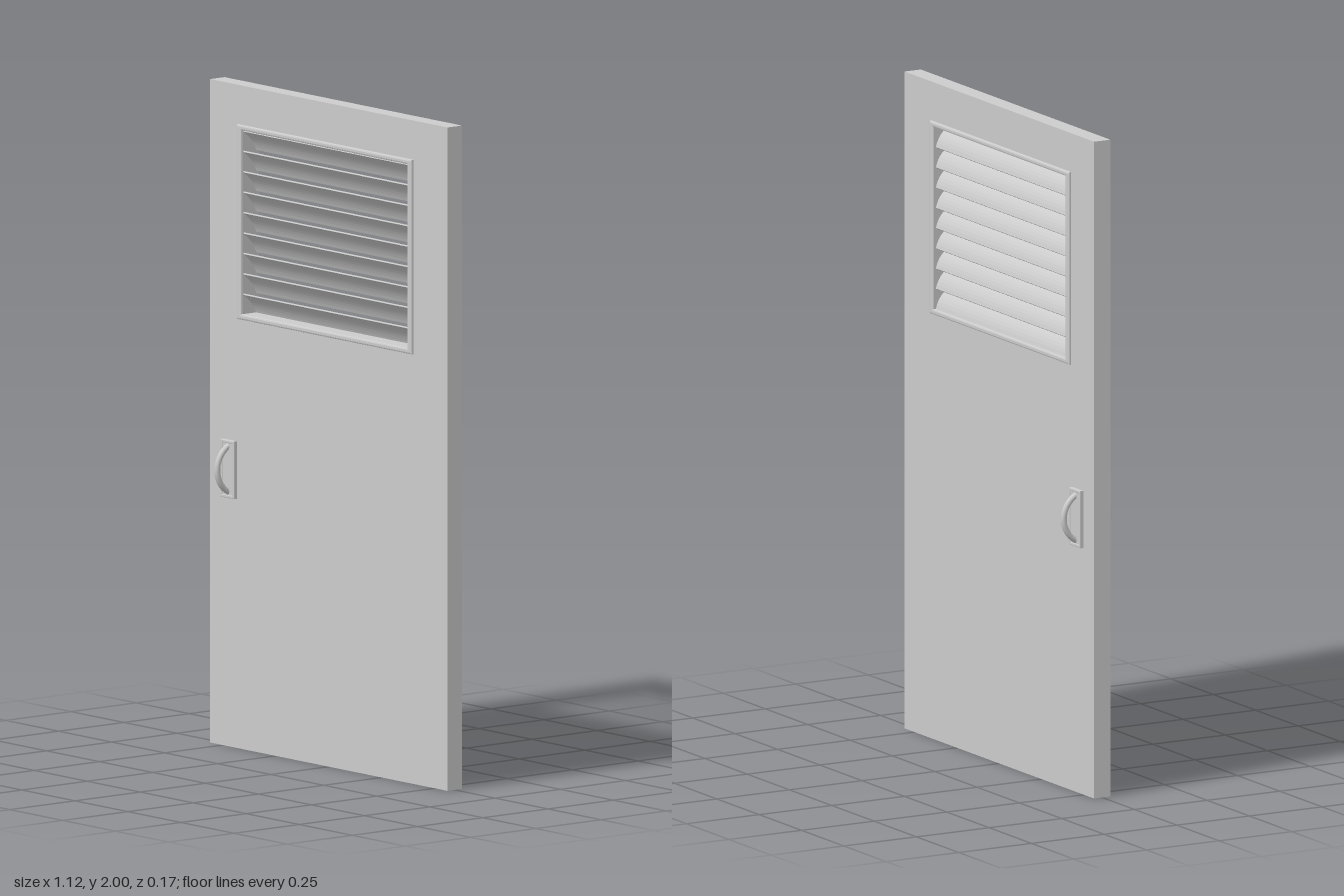
import * as THREE from 'three';

const grey = new THREE.MeshStandardMaterial({ color: 0xcccccc });

function rect(PathType, x0, x1, y0, y1) {
  const p = new PathType();
  p.moveTo(x0, y0);
  p.lineTo(x1, y0);
  p.lineTo(x1, y1);
  p.lineTo(x0, y1);
  p.closePath();
  return p;
}

// Rectangular panel with a rectangular hole, centred on z = 0
function panel(outer, hole, depth, bevel) {
  const shape = rect(THREE.Shape, ...outer);
  shape.holes.push(rect(THREE.Path, ...hole));
  const geo = new THREE.ExtrudeGeometry(shape, {
    depth: depth - 2 * bevel,
    bevelEnabled: bevel > 0,
    bevelSize: bevel,
    bevelThickness: bevel,
    bevelOffset: -bevel,
    bevelSegments: 2,
  });
  geo.translate(0, 0, bevel - depth / 2);
  return geo;
}

// Curved, tapered louvre blade: high at the front, low at the back
function slatGeometry(width) {
  const shape = new THREE.Shape();
  shape.moveTo(0.026, 0.031);
  shape.quadraticCurveTo(-0.014, 0.016, -0.026, -0.031);
  shape.lineTo(-0.022, -0.034);
  shape.quadraticCurveTo(-0.005, 0.006, 0.028, 0.027);
  shape.closePath();
  const geo = new THREE.ExtrudeGeometry(shape, { depth: width, bevelEnabled: false, curveSegments: 8 });
  geo.translate(0, 0, -width / 2);
  geo.rotateY(-Math.PI / 2); // profile x becomes z
  return geo;
}

export function createModel() {
  const group = new THREE.Group();
  const add = (name, geo, parent = group) => {
    const mesh = new THREE.Mesh(geo, grey);
    mesh.name = name;
    parent.add(mesh);
    return mesh;
  };

  // Door leaf with the vent opening
  add('doorLeaf', panel([-0.56, 0.56, 0, 2], [-0.415, 0.39, 1.305, 1.872], 0.056, 0));

  // Vent frame, standing proud on both faces
  add('ventFrame', panel([-0.425, 0.4, 1.295, 1.882], [-0.403, 0.378, 1.312, 1.866], 0.073, 0.005));

  // Louvre slats
  const slats = new THREE.Group();
  slats.name = 'louvreSlats';
  group.add(slats);
  const slat = slatGeometry(0.786);
  const count = 9, pitch = 0.554 / count;
  for (let i = 0; i < count; i++) {
    add('slat', slat, slats).position.set(-0.0125, 1.312 + pitch * (i + 0.5), 0);
  }

  // Handle plate and curved pull on each face
  const plate = panel([-0.033, 0.033, -0.087, 0.087], [-0.024, 0.024, -0.078, 0.078], 0.014, 0.002);
  const backing = new THREE.BoxGeometry(0.06, 0.168, 0.01);
  const pull = new THREE.TorusGeometry(0.077, 0.009, 12, 32, Math.PI);
  pull.rotateZ(-Math.PI / 2);
  pull.rotateY(-Math.PI / 2); // arc bulges towards +z
  for (const [name, turn] of [['frontHandle', 0], ['backHandle', Math.PI]]) {
    const handle = new THREE.Group();
    handle.name = name;
    handle.position.set(-0.465, 0.838, 0);
    handle.rotation.y = turn;
    group.add(handle);
    add('plateRim', plate, handle).position.z = 0.033;
    add('plate', backing, handle).position.z = 0.033;
    add('pull', pull, handle);
  }
  return group;
}
